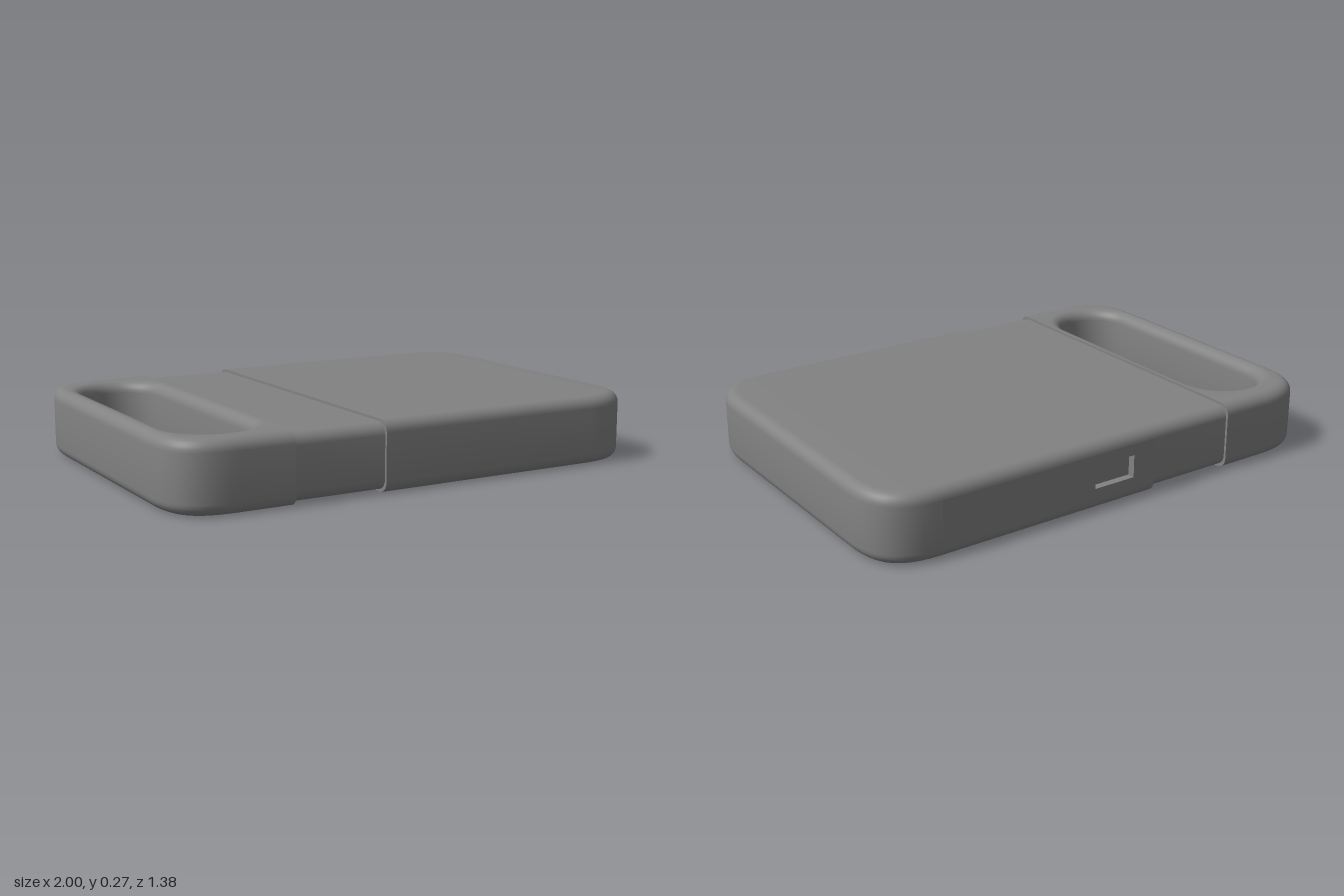
import * as THREE from 'three';
import { toCreasedNormals, mergeGeometries } from 'three/addons/utils/BufferGeometryUtils.js';

const HEIGHT = 0.27, HALF_DEPTH = 0.69, BEVEL = 0.045;

function mesh(name, geometry) {
  const m = new THREE.Mesh(geometry, new THREE.MeshStandardMaterial({ color: 0x828282 }));
  m.name = name;
  return m;
}

// Outline with two soft corners on the right (+x) and square corners on the left
function roundEnd(x0, x1, halfDepth, r) {
  const s = new THREE.Shape();
  const c = r * 0.3; // distance of the curve handles from the sharp corner
  s.moveTo(x0, -halfDepth);
  s.lineTo(x1 - r, -halfDepth);
  s.bezierCurveTo(x1 - c, -halfDepth, x1, -halfDepth + c, x1, -halfDepth + r);
  s.lineTo(x1, halfDepth - r);
  s.bezierCurveTo(x1, halfDepth - c, x1 - c, halfDepth, x1 - r, halfDepth);
  s.lineTo(x0, halfDepth);
  s.closePath();
  return s;
}

// Rectangular path
function rect(path, x0, y0, x1, y1) {
  path.moveTo(x0, y0);
  path.lineTo(x1, y0);
  path.lineTo(x1, y1);
  path.lineTo(x0, y1);
  path.closePath();
  return path;
}

// Keep only the triangles that pass a test
function keepTriangles(geo, test) {
  const p = geo.attributes.position, out = [];
  const t = new THREE.Triangle();
  for (let i = 0; i < p.count; i += 3) {
    t.setFromAttributeAndIndices(p, i, i + 1, i + 2);
    if (test(t)) out.push(...t.a.toArray(), ...t.b.toArray(), ...t.c.toArray());
  }
  const g = new THREE.BufferGeometry();
  g.setAttribute('position', new THREE.Float32BufferAttribute(out, 3));
  return g;
}

// Lying slab with soft edges, cut off flat at xMin and xMax
function slab(shape, y0, height, xMin, xMax) {
  const geo = new THREE.ExtrudeGeometry(shape, {
    depth: height - 2 * BEVEL, bevelThickness: BEVEL, bevelSize: BEVEL,
    bevelOffset: -BEVEL, bevelSegments: 6, curveSegments: 20,
  });
  geo.rotateX(-Math.PI / 2).translate(0, y0 + BEVEL, 0);
  const p = geo.attributes.position;
  for (let i = 0; i < p.count; i++) {
    p.setX(i, THREE.MathUtils.clamp(p.getX(i), xMin, xMax));
  }
  return keepTriangles(geo, (t) => t.getArea() > 1e-8);
}

export function createModel() {
  const group = new THREE.Group();
  const seamA = -0.547, seamB = -0.18, corner = 0.24;

  // Main body, with its flat back panel taken out to make room for the slot
  const onBack = (v) => Math.abs(v.z + HALF_DEPTH) < 1e-4;
  const bodyGeo = keepTriangles(
    slab(roundEnd(seamB - 0.1, 1, HALF_DEPTH, corner), 0, HEIGHT, seamB, 1),
    (t) => !(onBack(t.a) && onBack(t.b) && onBack(t.c)));
  const body = new THREE.Group();
  body.name = 'body';
  body.add(mesh('bodyShell', toCreasedNormals(bodyGeo, 0.6)));

  // Back panel with a rectangular opening (x is mirrored by the half turn)
  const slot = { x0: -0.08, x1: 0.10, y0: 0.09, y1: 0.18, depth: 0.03 };
  const panel = rect(new THREE.Shape(), corner - 1, BEVEL, -seamB, HEIGHT - BEVEL);
  panel.holes.push(rect(new THREE.Path(), -slot.x1, slot.y0, -slot.x0, slot.y1));
  const panelGeo = new THREE.ShapeGeometry(panel).rotateY(Math.PI).translate(0, 0, -HALF_DEPTH);
  body.add(mesh('backPanel', panelGeo));

  // Slot pocket: a floor and four walls, open to the back
  const w = slot.x1 - slot.x0, h = slot.y1 - slot.y0, d = slot.depth;
  const pocket = mergeGeometries([
    new THREE.PlaneGeometry(w, h).rotateY(Math.PI).translate(0, 0, d / 2),
    new THREE.PlaneGeometry(d, h).rotateY(Math.PI / 2).translate(-w / 2, 0, 0),
    new THREE.PlaneGeometry(d, h).rotateY(-Math.PI / 2).translate(w / 2, 0, 0),
    new THREE.PlaneGeometry(w, d).rotateX(-Math.PI / 2).translate(0, -h / 2, 0),
    new THREE.PlaneGeometry(w, d).rotateX(Math.PI / 2).translate(0, h / 2, 0),
  ]);
  pocket.translate((slot.x0 + slot.x1) / 2, (slot.y0 + slot.y1) / 2, -HALF_DEPTH + d / 2);
  body.add(mesh('slotPocket', pocket));
  group.add(body);

  // Slightly recessed band between the body and the handle
  const inset = 0.01;
  const bandShape = rect(new THREE.Shape(),
    seamA - 0.1, inset - HALF_DEPTH, seamB + 0.1, HALF_DEPTH - inset);
  const bandGeo = slab(bandShape, inset, HEIGHT - 2 * inset, seamA, seamB);
  group.add(mesh('band', toCreasedNormals(bandGeo, 0.6)));

  // Carry handle, built facing +x and turned round, with a long rounded opening
  const outline = roundEnd(-seamA - 0.1, 1, HALF_DEPTH, corner);
  const grip = new THREE.Path(), r = 0.155, cx = 0.755, cz = 0.41;
  grip.absarc(cx, cz, r, 0, Math.PI, false);
  grip.absarc(cx, -cz, r, Math.PI, Math.PI * 2, false);
  grip.closePath();
  outline.holes.push(grip);
  const handleGeo = slab(outline, 0, HEIGHT, -seamA, 1).rotateY(Math.PI);
  group.add(mesh('handle', toCreasedNormals(handleGeo, 0.6)));

  return group;
}
